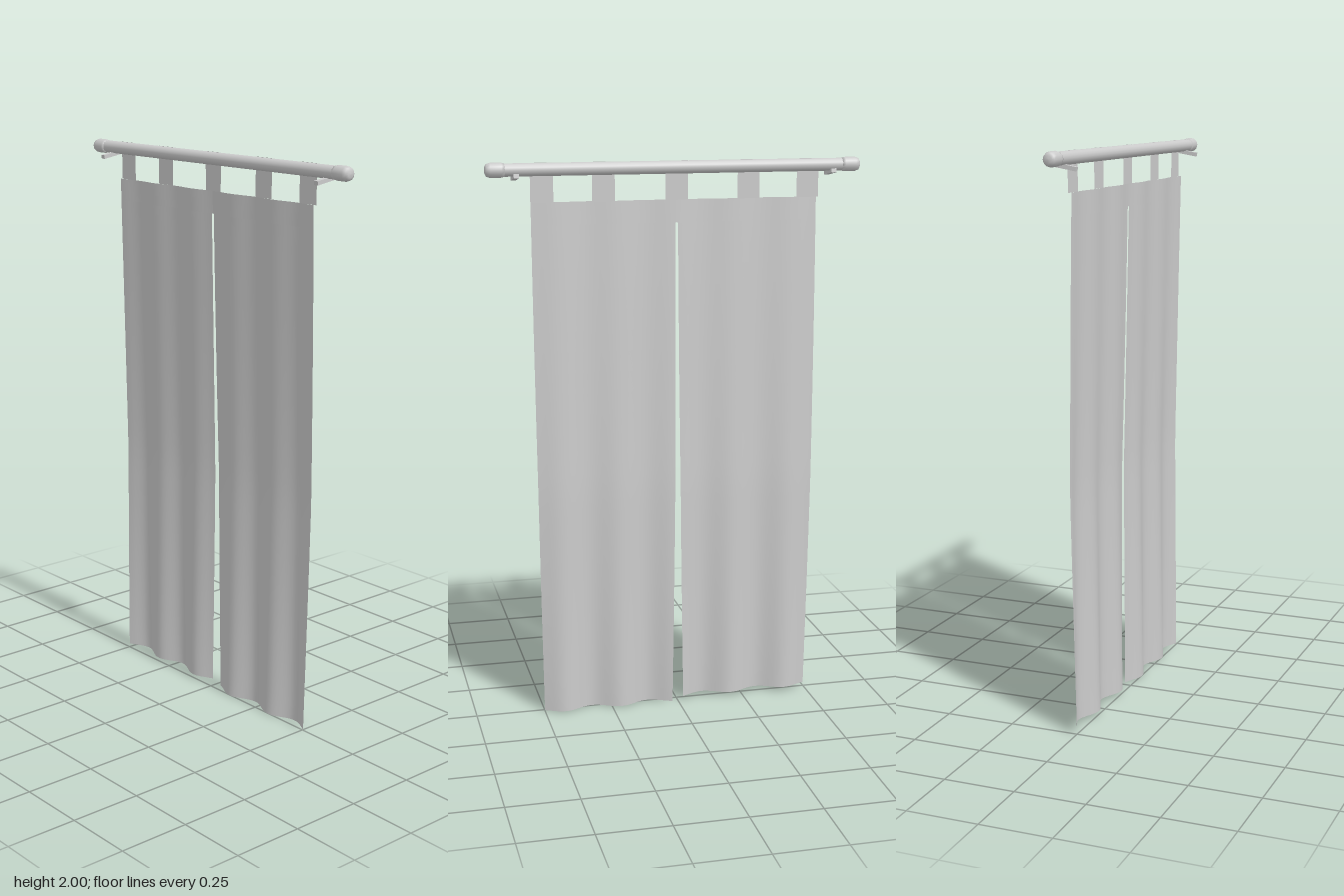
import * as THREE from 'three';

const grey = new THREE.MeshStandardMaterial({ color: 0xcccccc });
const cloth = new THREE.MeshStandardMaterial({ color: 0xcccccc, side: THREE.DoubleSide });
const lerp = THREE.MathUtils.lerp;

const ROD_Y = 1.977, ROD_Z = -0.01;
const TOP = 1.865, SLIT = 1.785;

function add(parent, name, geometry, material, x = 0, y = 0, z = 0) {
  const mesh = new THREE.Mesh(geometry, material);
  mesh.name = name;
  mesh.position.set(x, y, z);
  parent.add(mesh);
  return mesh;
}

// Depth of the hanging cloth: soft vertical folds that deepen towards the hem
function foldDepth(x, y) {
  const t = 1 - y / TOP;
  const centre = t < 0.55 ? lerp(-0.004, -0.023, t / 0.55) : lerp(-0.023, -0.015, (t - 0.55) / 0.45);
  const depth = lerp(0.004, 0.018, t * t);
  return centre - depth * Math.cos((2 * Math.PI * (x - 0.005)) / 0.21);
}

// One half of the curtain; side is -1 or 1, the halves meet above the slit
function panelGeometry(side, hem) {
  const cols = 30;
  const rows = [TOP, SLIT + 0.001];
  for (let i = 0; i <= 24; i++) rows.push(lerp(SLIT, hem, i / 24));
  const pos = [], idx = [];
  rows.forEach((y, r) => {
    const t = 1 - y / TOP;
    const inner = r < 2 ? 0 : lerp(0.005, 0.021, t * t);
    const outer = lerp(0.513, 0.499, t * t);
    for (let c = 0; c <= cols; c++) {
      const x = side * lerp(inner, outer, c / cols);
      pos.push(x, y, foldDepth(x, y));
      if (r && c) {
        const d = r * (cols + 1) + c, b = d - cols - 1;
        if (side > 0) idx.push(b - 1, d - 1, b, b, d - 1, d);
        else idx.push(b - 1, b, d - 1, b, d, d - 1);
      }
    }
  });
  const g = new THREE.BufferGeometry();
  g.setAttribute('position', new THREE.Float32BufferAttribute(pos, 3));
  g.setIndex(idx);
  g.computeVertexNormals();
  return g;
}

export function createModel() {
  const model = new THREE.Group();
  model.name = 'splitCurtain';

  // Rod
  add(model, 'rod', new THREE.CylinderGeometry(0.0225, 0.0225, 1.24, 16), grey, 0, ROD_Y, ROD_Z)
    .rotation.z = Math.PI / 2;

  // Rounded end caps and the slanted pegs that carry the rod
  const capProfile = [[0, 0], [0.0225, 0], [0.0255, 0.012], [0.0255, 0.05], [0.021, 0.063], [0.012, 0.068], [0, 0.069]]
    .map(([r, h]) => new THREE.Vector2(r, h));
  const capGeometry = new THREE.LatheGeometry(capProfile, 12);
  for (const side of [-1, 1]) {
    add(model, 'rodEndCap', capGeometry, grey, side * 0.601, ROD_Y, ROD_Z)
      .rotation.z = -side * Math.PI / 2;
    add(model, 'rodPeg', new THREE.BoxGeometry(0.018, 0.014, 0.085), grey, side * 0.565, 1.951, 0)
      .rotation.x = 0.17;
  }

  // Flat hanging tabs
  for (const x of [-0.477, -0.26, 0, 0.26, 0.475])
    add(model, 'hangingTab', new THREE.PlaneGeometry(0.08, 0.136), cloth, x, 1.932, -0.011);

  // Curtain halves
  add(model, 'rightCurtain', panelGeometry(-1, 0.015), cloth);
  add(model, 'leftCurtain', panelGeometry(1, 0), cloth);

  return model;
}
